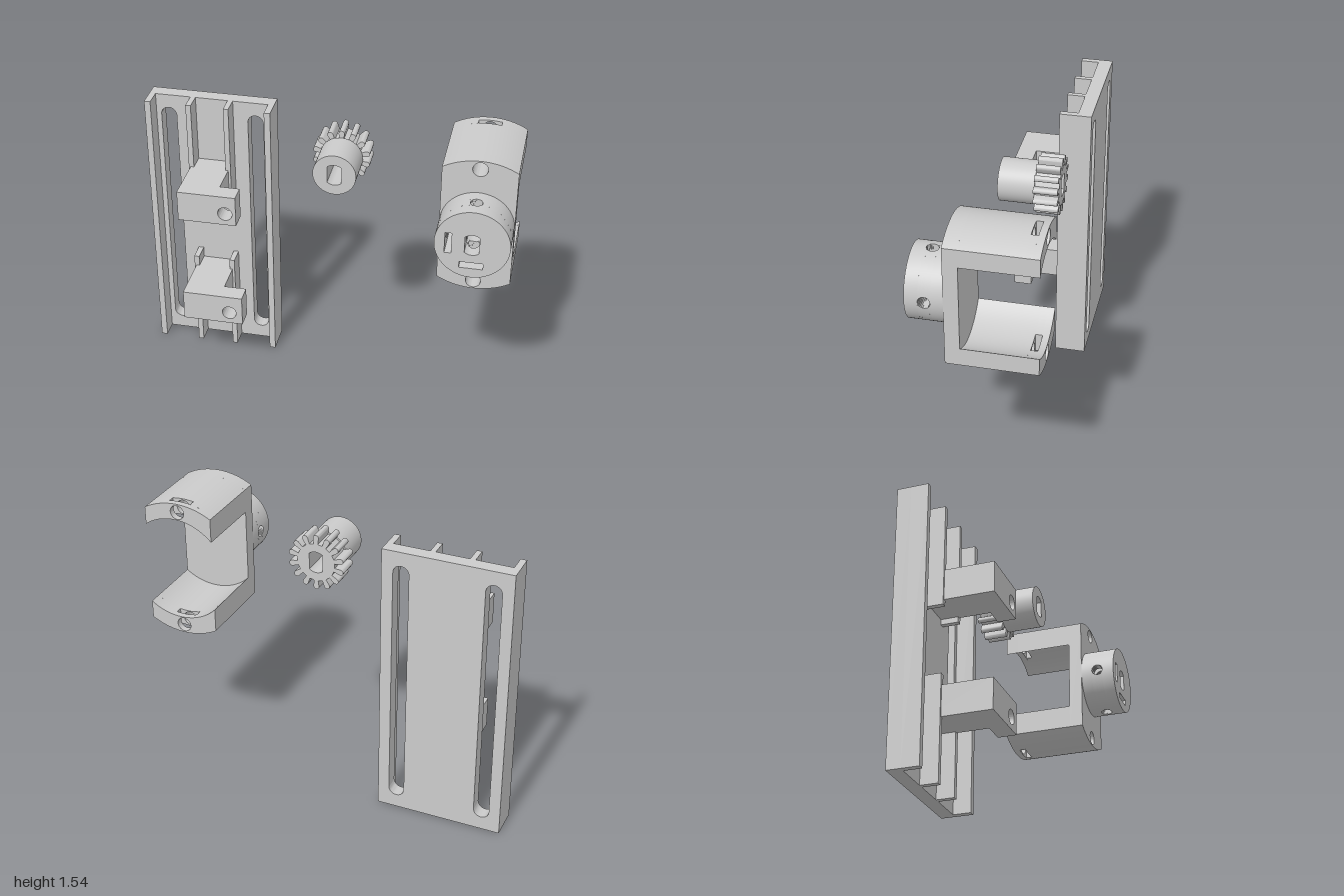
import * as THREE from 'three';
import { toCreasedNormals } from 'three/addons/utils/BufferGeometryUtils.js';

const material = new THREE.MeshStandardMaterial({ color: 0xcccccc });

function addMesh(parent, name, geometry) {
  const mesh = new THREE.Mesh(geometry, material);
  mesh.name = name;
  parent.add(mesh);
  return mesh;
}

function addBox(parent, name, x0, x1, y0, y1, z0, z1) {
  const mesh = addMesh(parent, name, new THREE.BoxGeometry(x1 - x0, y1 - y0, z1 - z0));
  mesh.position.set((x0 + x1) / 2, (y0 + y1) / 2, (z0 + z1) / 2);
}

// Straight extrusion of an xy outline between two depths
function addSlab(parent, name, shape, z0, z1) {
  const geometry = new THREE.ExtrudeGeometry(shape, { depth: z1 - z0, bevelEnabled: false, curveSegments: 32 });
  geometry.translate(0, 0, z0);
  return addMesh(parent, name, toCreasedNormals(geometry, 0.5));
}

const toShape = (points) => new THREE.Shape(points.map(([x, y]) => new THREE.Vector2(x, y)));
const rect = (x0, x1, y0, y1) => toShape([[x0, y0], [x1, y0], [x1, y1], [x0, y1]]);
const circle = (x, y, r) => new THREE.Shape().absarc(x, y, r, 0, Math.PI * 2, false);

// Points of an arc around a centre
function arc(cx, cy, r, a0, a1, n) {
  return Array.from({ length: n + 1 }, (_, i) => {
    const a = a0 + (a1 - a0) * i / n;
    return [cx + r * Math.cos(a), cy + r * Math.sin(a)];
  });
}

// Round bore with two flat sides
const BORE_R = 0.058, BORE_X = 0.037;
function boreHole() {
  const a = Math.acos(BORE_X / BORE_R);
  return toShape([...arc(0, 0, BORE_R, a, Math.PI - a, 8), ...arc(0, 0, BORE_R, Math.PI + a, 2 * Math.PI - a, 8)]);
}

// Slotted rail plate with ribs and two hooked lugs
function createRail() {
  const rail = new THREE.Group();
  rail.name = 'railPlate';
  const plate = rect(-1, -0.32, 0, 1.525);
  for (const x of [-0.898, -0.423]) {
    const r = 0.042;
    plate.holes.push(toShape([...arc(x, 1.45 - r, r, 0, Math.PI, 16), ...arc(x, 0.075 + r, r, Math.PI, 2 * Math.PI, 16)]));
  }
  addSlab(rail, 'slottedPlate', plate, -0.325, -0.25);

  for (const [x0, x1] of [[-1, -0.967], [-0.353, -0.32]]) addBox(rail, 'edgeRib', x0, x1, 0, 1.525, -0.25, -0.155);
  for (const [x0, x1] of [[-0.775, -0.747], [-0.572, -0.544]]) {
    addBox(rail, 'lowerRib', x0, x1, 0, 0.575, -0.25, -0.155);
    addBox(rail, 'upperRib', x0, x1, 0.955, 1.525, -0.25, -0.155);
  }
  for (const [y, xEnd] of [[0.345, -0.435], [0.985, -0.45]]) {
    addBox(rail, 'lugBody', -0.765, -0.557, y, y + 0.17, -0.25, 0.113);
    const foot = rect(-0.557, xEnd, y, y + 0.17);
    foot.holes.push(circle(-0.508, y + 0.0925 - 0.025, 0.039));
    addSlab(rail, 'lugFoot', foot, 0.015, 0.113);
  }
  return rail;
}

// Pinion with rounded teeth and a long hub
function createPinion() {
  const pinion = new THREE.Group();
  pinion.name = 'pinion';
  const teeth = 14, points = [];
  for (let i = 0; i < teeth; i++) {
    const a = Math.PI / 2 + i * 2 * Math.PI / teeth;
    const tooth = [[0.103, -0.011], [0.136, -0.0155], ...arc(0.1375, 0, 0.0155, -1.4, 1.4, 6), [0.136, 0.0155], [0.103, 0.011]];
    for (const [r, t] of tooth) {
      points.push([r * Math.cos(a) - t * Math.sin(a), r * Math.sin(a) + t * Math.cos(a)]);
    }
  }
  const gear = toShape(points);
  gear.holes.push(boreHole());
  addSlab(pinion, 'toothedWheel', gear, -0.25, -0.125);
  const hub = circle(0, 0, 0.113);
  hub.holes.push(boreHole());
  addSlab(pinion, 'pinionHub', hub, -0.125, 0.065);
  pinion.position.set(0.065, 1.33, 0);
  return pinion;
}

// One quarter of the collar, left between crossing channels of half-width w
const COLLAR_R = 0.19;
function collarQuarter(sx, sy, w) {
  const points = [[BORE_X, w]];
  if (sx < 0) points.push([0.103, w], [0.103, 0.058], [0.137, 0.058], [0.137, w]);
  const a = Math.asin(w / COLLAR_R);
  points.push(...arc(0, 0, COLLAR_R, a, Math.PI / 2 - a, 16));
  if (sy < 0) points.push([w, 0.137], [0.06, 0.137], [0.06, 0.103], [w, 0.103]);
  points.push(...arc(0, 0, BORE_R, Math.acos(w / BORE_R), Math.acos(BORE_X / BORE_R), 3));
  return toShape(points.map(([x, y]) => [x * sx, y * sy]));
}

// Collar with bore, nut slots and round cross holes
function createCollar() {
  const collar = new THREE.Group();
  collar.name = 'collar';
  const disc = circle(0, 0, COLLAR_R);
  disc.holes.push(boreHole(), rect(-0.137, -0.103, -0.058, 0.058), rect(-0.06, 0.06, -0.137, -0.103));
  const zc = 0.228, r = 0.031, steps = 14;
  addSlab(collar, 'collarBack', disc, 0.135, zc - r);
  addSlab(collar, 'collarFront', disc, zc + r, 0.325);
  for (let i = 0; i < steps; i++) {
    const a0 = Math.PI * i / steps, a1 = Math.PI * (i + 1) / steps;
    const w = r * Math.sin((a0 + a1) / 2);
    for (const sx of [-1, 1]) for (const sy of [-1, 1]) {
      addSlab(collar, 'collarQuarter', collarQuarter(sx, sy, w), zc - r * Math.cos(a0), zc - r * Math.cos(a1));
    }
  }
  collar.position.set(0, 0.009, 0);
  return collar;
}

// Forked holder: base, two curved arms and the collar
function createHolder() {
  const holder = new THREE.Group();
  holder.name = 'forkedHolder';
  const R = 0.378, half = 0.19, boltY = 0.331, boltR = 0.039;
  const innerR = 0.287, innerX = 0.018;

  // Arm cross-section between two x limits
  const armShape = (x0, x1, s) => toShape([
    ...arc(0, 0, R, Math.acos(x0 / R), Math.acos(x1 / R), 20),
    ...arc(innerX, 0, innerR, Math.acos((x1 - innerX) / innerR), Math.acos((x0 - innerX) / innerR), 20),
  ].map(([x, y]) => [x, y * s]));

  const a = Math.acos(half / R);
  const base = toShape([...arc(0, 0, R, a, Math.PI - a, 32), ...arc(0, 0, R, Math.PI + a, 2 * Math.PI - a, 32)]);
  base.holes.push(circle(0, boltY, boltR), circle(0, -boltY, boltR));
  addSlab(holder, 'holderBase', base, 0.06, 0.135);

  for (const s of [1, -1]) {
    const arm = armShape(-half, half, s);
    arm.holes.push(circle(0, s * boltY, boltR));
    addSlab(holder, 'arm', arm, -0.255, 0.06);
    addSlab(holder, 'armTip', arm, -0.325, -0.29);
    // Nut slot between arm and tip
    addSlab(holder, 'armSlotSide', armShape(-half, -0.06, s), -0.29, -0.255);
    addSlab(holder, 'armSlotSide', armShape(0.06, half, s), -0.29, -0.255);
  }
  holder.add(createCollar());
  holder.position.set(0.81, 1.163, 0);
  return holder;
}

export function createModel() {
  const model = new THREE.Group();
  model.name = 'railPinionAndHolder';
  model.add(createRail(), createPinion(), createHolder());
  return model;
}
